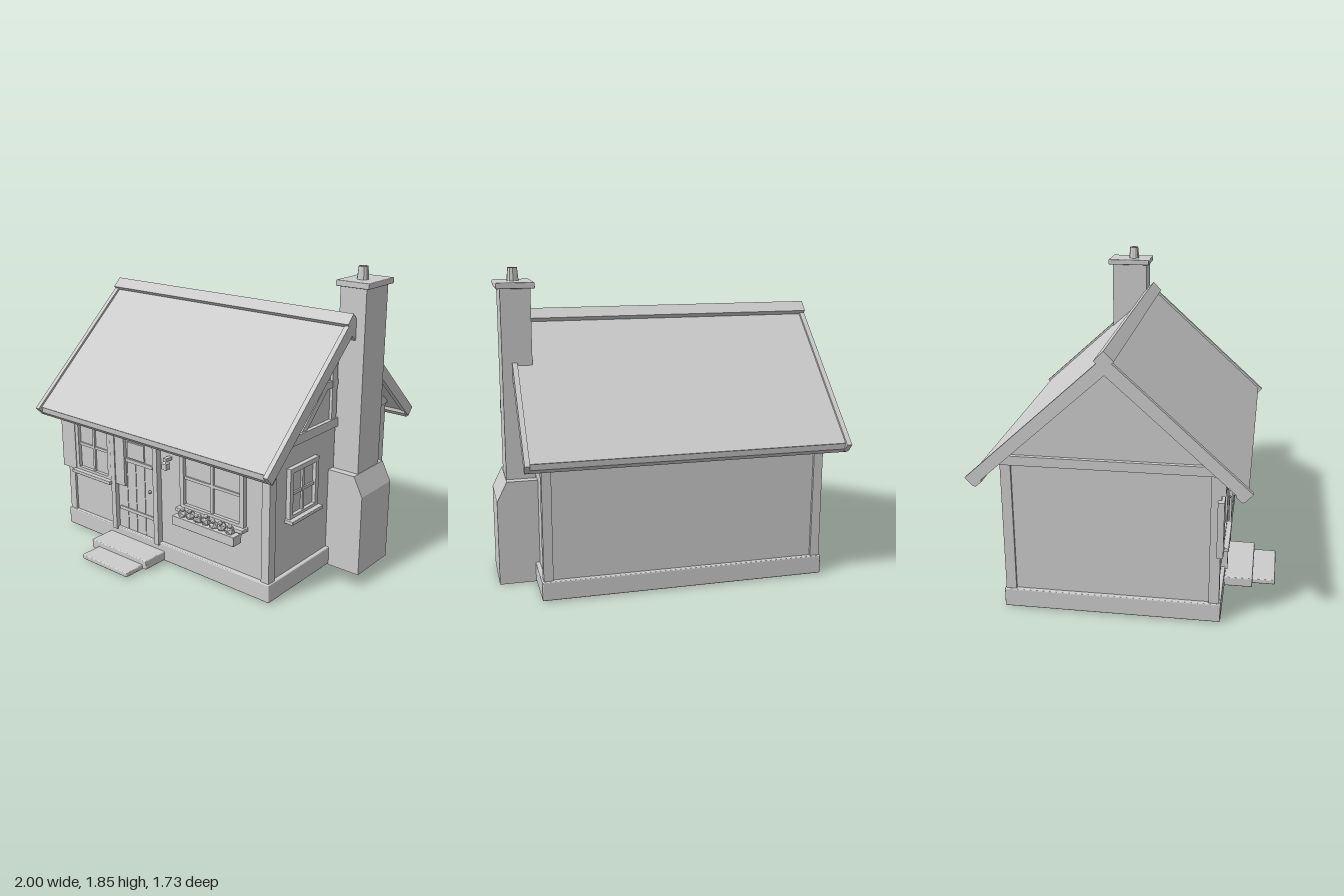
import * as THREE from 'three';
import { RoundedBoxGeometry } from 'three/addons/geometries/RoundedBoxGeometry.js';

const mat = new THREE.MeshStandardMaterial({ color: 0xcccccc, flatShading: true });
const MID_X = -0.0625, MID_Z = -0.07; // centre of the house body

export function createModel() {
  const house = new THREE.Group();
  house.name = 'cottage';

  const add = (name, geo, parent = house) => {
    const m = new THREE.Mesh(geo, mat);
    m.name = name;
    parent.add(m);
    return m;
  };
  // Box given by its limits; a bevel softens the edges
  const box = (name, x0, x1, y0, y1, z0, z1, parent = house, bevel = 0) => {
    const w = x1 - x0, h = y1 - y0, d = z1 - z0;
    const g = bevel ? new RoundedBoxGeometry(w, h, d, 2, bevel) : new THREE.BoxGeometry(w, h, d);
    g.translate((x0 + x1) / 2, (y0 + y1) / 2, (z0 + z1) / 2);
    return add(name, g, parent);
  };
  // Profile of [z, y] points extruded from x0 to x1
  const profile = (name, pts, x0, x1) => {
    const shape = new THREE.Shape(pts.map(p => new THREE.Vector2(...p)));
    const g = new THREE.ExtrudeGeometry(shape, { depth: x1 - x0, bevelEnabled: false });
    g.rotateY(-Math.PI / 2).translate(x1, 0, 0);
    return add(name, g);
  };

  // Plinth and walls with gables
  box('plinth', -0.91, 0.785, 0.005, 0.12, -0.7, 0.56, house, 0.008);
  profile('walls', [[-0.675, 0.1], [0.535, 0.1], [0.535, 0.92], [MID_Z, 1.49], [-0.675, 0.92]], -0.885, 0.76);

  // Corner posts
  for (const [x0, x1] of [[-0.9, -0.845], [0.72, 0.775]])
    for (const [z0, z1] of [[-0.69, -0.63], [0.49, 0.55]])
      box('cornerPost', x0, x1, 0.11, 0.92, z0, z1);

  // Wall plate and gable tie beams
  box('wallPlate', -0.9, 0.775, 0.785, 0.87, 0.5, 0.572);
  box('tieBeam', 0.74, 0.785, 0.9, 0.955, -0.69, 0.55);
  box('tieBeam', -0.91, -0.865, 0.9, 0.955, -0.69, 0.55);

  // Timber framing of the right gable
  box('kingPost', 0.74, 0.778, 0.95, 1.47, MID_Z - 0.025, MID_Z + 0.025);
  box('collarBeam', 0.74, 0.776, 1.15, 1.193, MID_Z - 0.35, MID_Z + 0.35);
  for (const s of [-1, 1]) {
    const pts = [[0.33, 0.95], [0.275, 0.95], [0.06, 1.155], [0.115, 1.155]]
      .map(([z, y]) => [MID_Z + s * z, y]);
    profile('gableBrace', pts, 0.74, 0.774);
  }

  // Roof slopes, barge boards and eaves
  const slope = 0.911;
  const slab = (s, reach, top, drop) => {
    const yEnd = top - slope * reach;
    return [[0, top], [reach, yEnd], [reach - drop * 0.45, yEnd - drop * 0.5], [0, top - drop]]
      .map(([z, y]) => [MID_Z + s * z, y]);
  };
  for (const s of [-1, 1]) {
    profile('roofSlope', slab(s, 0.765, 1.553, 0.075), -0.995, 0.875);
    for (const [x0, x1] of [[-1, -0.97], [0.85, 0.88]])
      profile('bargeBoard', slab(s, 0.79, 1.57, 0.1), x0, x1);
    profile('eavesBoard', [[0.735, 0.795], [0.76, 0.82], [0.763, 0.855], [0.70, 0.89], [0.70, 0.825]]
      .map(([z, y]) => [MID_Z + s * z, y]), -0.995, 0.875);
  }
  const cap = add('ridgeCap', new THREE.BoxGeometry(1.88, 0.077, 0.077));
  cap.rotation.x = Math.PI / 4;
  cap.position.set(-0.06, 1.545, MID_Z - 0.003);

  // Chimney
  const breast = new THREE.Shape([[0.74, 0], [1, 0], [1, 0.51], [0.94, 0.63], [0.74, 0.63]]
    .map(p => new THREE.Vector2(...p)));
  add('chimneyBreast', new THREE.ExtrudeGeometry(breast, { depth: 0.335, bevelEnabled: false })
    .translate(0, 0, -0.395));
  box('chimneyStack', 0.765, 0.937, 0.6, 1.75, -0.345, -0.107);
  box('chimneyCap', 0.742, 0.96, 1.74, 1.775, -0.372, -0.088, house, 0.006);
  const pot = [[0, 1.77], [0.036, 1.77], [0.028, 1.85], [0.02, 1.85], [0.02, 1.8], [0, 1.8]];
  add('chimneyPot', new THREE.LatheGeometry(pot.map(p => new THREE.Vector2(...p)), 10))
    .position.set(0.85, 0, -0.207);

  // Window facing +z, centred on its own x, wall surface at z = 0
  const addWindow = (name, w, y0, y1, barY) => {
    const g = new THREE.Group();
    g.name = name;
    house.add(g);
    const h = w / 2, f = 0.03;
    box('glass', -h, h, y0, y1, -0.02, 0.005, g);
    for (const s of [-1, 1])
      box('frameSide', s > 0 ? h - f : -h, s > 0 ? h : f - h, y0, y1, -0.02, 0.028, g);
    box('frameTop', f - h, h - f, y1 - f, y1, -0.02, 0.028, g);
    box('frameBottom', f - h, h - f, y0, y0 + f, -0.02, 0.028, g);
    box('glazingBar', -0.009, 0.009, y0 + f, y1 - f, -0.02, 0.018, g);
    box('glazingBar', f - h, h - f, barY - 0.009, barY + 0.009, -0.02, 0.016, g);
    box('sill', -h - 0.014, h + 0.014, y0 - 0.012, y0 + 0.012, -0.02, 0.058, g, 0.005);
    return g;
  };
  addWindow('leftWindow', 0.33, 0.42, 0.785, 0.61).position.set(-0.645, 0, 0.535);
  addWindow('flowerWindow', 0.485, 0.41, 0.785, 0.61).position.set(0.358, 0, 0.535);
  const side = addWindow('sideWindow', 0.285, 0.45, 0.77, 0.605);
  side.position.set(0.76, 0, 0.23);
  side.rotation.y = Math.PI / 2;

  // Shutters
  for (const x of [-0.935, -0.48])
    box('shutter', x, x + 0.127, 0.425, 0.76, 0.53, 0.567);

  // Door with posts, planks, straps, small window and knob
  box('door', -0.435, -0.1, 0.11, 0.785, 0.5, 0.543);
  for (const x of [-0.47, -0.1])
    box('doorPost', x, x + 0.037, 0.105, 0.79, 0.5, 0.573);
  for (let i = 0; i < 4; i++)
    box('doorPlank', -0.42 + i * 0.077, -0.347 + i * 0.077, 0.125, 0.6, 0.53, 0.548);
  box('doorTopRail', -0.42, -0.116, 0.73, 0.785, 0.53, 0.548);
  for (const y of [0.25, 0.59])
    box('doorStrap', -0.415, -0.12, y, y + 0.022, 0.53, 0.555);
  box('doorWindow', -0.337, -0.192, 0.62, 0.725, 0.53, 0.552);
  add('doorKnob', new THREE.SphereGeometry(0.011, 10, 8)).position.set(-0.14, 0.44, 0.558);

  // Wall lantern
  box('lanternBracket', 0.003, 0.03, 0.69, 0.71, 0.53, 0.585);
  box('lanternBody', 0, 0.034, 0.638, 0.68, 0.56, 0.594);
  const hood = add('lanternHood', new THREE.ConeGeometry(0.03, 0.02, 4));
  hood.rotation.y = Math.PI / 4;
  hood.position.set(0.017, 0.688, 0.577);

  // Flower box with foliage and blooms
  box('flowerBox', 0.12, 0.59, 0.33, 0.39, 0.565, 0.64, house, 0.004);
  for (let i = 0; i < 7; i++) {
    const x = 0.175 + i * 0.06, lift = (i % 2) * 0.008;
    const leaf = add('foliage', new THREE.IcosahedronGeometry(0.032, 0));
    leaf.position.set(x, 0.402 + lift, 0.602);
    leaf.rotation.set(i, i * 0.7, 0);
    add('bloom', new THREE.IcosahedronGeometry(0.014, 1))
      .position.set(x + 0.01, 0.438 + lift, 0.615 + (i % 3) * 0.008);
  }

  // Front steps
  box('upperStep', -0.505, -0.025, 0.01, 0.07, 0.53, 0.728, house, 0.008);
  box('lowerStep', -0.445, -0.055, 0.005, 0.037, 0.53, 0.865, house, 0.008);

  return house;
}
